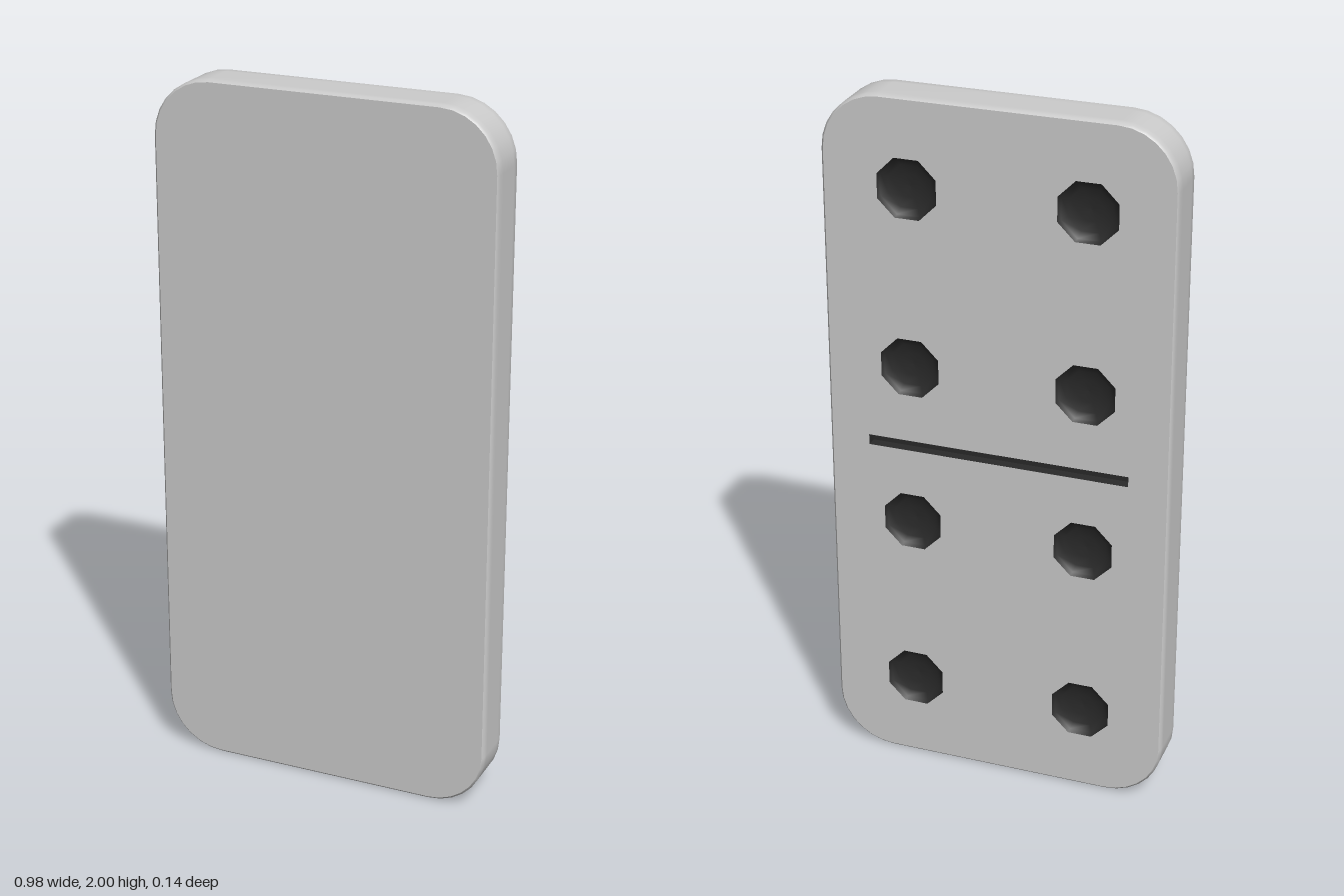
import * as THREE from 'three';

const W = 0.98, H = 2, D = 0.135, R = 0.165, INSET = 0.006;
const PIP_R = 0.09, PIP_DEPTH = 0.03, BAR_W = 0.75, BAR_H = 0.03, BAR_DEPTH = 0.03;
const PIPS = [];
for (const x of [-0.25, 0.25]) for (const y of [-0.75, -0.236, 0.236, 0.75]) PIPS.push([x, y]);

// Rounded rectangle outline, counter-clockwise, shrunk by `inset`
function outline(inset) {
  const points = [], n = 7, cx = W / 2 - R, cy = H / 2 - R, r = R - inset;
  [[1, 1], [-1, 1], [-1, -1], [1, -1]].forEach(([sx, sy], corner) => {
    for (let i = 0; i <= n; i++) {
      const a = (corner + i / n) * Math.PI / 2;
      points.push(new THREE.Vector2(sx * cx + r * Math.cos(a), sy * cy + r * Math.sin(a)));
    }
  });
  return points;
}

// Smooth side wall with softened rims, lofted from outline rings
function wallGeometry() {
  const rings = [[INSET, -D / 2], [0, -D / 2 + INSET], [0, -0.04], [0, 0.04], [0, D / 2 - INSET], [INSET, D / 2]];
  const position = [], index = [];
  const n = outline(0).length;
  rings.forEach(([inset, z], k) => {
    outline(inset).forEach((p, i) => {
      position.push(p.x, p.y, z);
      if (k === rings.length - 1) return;
      const a = k * n + i, b = k * n + (i + 1) % n;
      index.push(a, b, b + n, a, b + n, a + n);
    });
  });
  const g = new THREE.BufferGeometry();
  g.setAttribute('position', new THREE.Float32BufferAttribute(position, 3));
  g.setIndex(index);
  g.computeVertexNormals();
  return g;
}

// Back face with openings for the pips and the dividing bar
function backShape() {
  const shape = new THREE.Shape(outline(INSET));
  for (const [x, y] of PIPS) {
    const pts = [];
    for (let i = 0; i < 8; i++) {
      const a = -(i + 0.5) * Math.PI / 4;
      pts.push(new THREE.Vector2(x + PIP_R * Math.cos(a), y + PIP_R * Math.sin(a)));
    }
    shape.holes.push(new THREE.Path(pts));
  }
  const w = BAR_W / 2, h = BAR_H / 2;
  shape.holes.push(new THREE.Path([[-w, -h], [-w, h], [w, h], [w, -h]].map(p => new THREE.Vector2(...p))));
  return shape;
}

export function createModel() {
  const model = new THREE.Group();
  model.name = 'dominoTile';
  const grey = new THREE.MeshStandardMaterial({ color: 0xcccccc });
  const dark = new THREE.MeshStandardMaterial({ color: 0x2a2a2a, side: THREE.DoubleSide });

  function add(name, geometry, material, x, y, z) {
    const mesh = new THREE.Mesh(geometry, material);
    mesh.name = name;
    mesh.position.set(x, y + H / 2, z);
    model.add(mesh);
    return mesh;
  }

  // Tile body
  add('sideWall', wallGeometry(), grey, 0, 0, 0);
  add('frontFace', new THREE.ShapeGeometry(new THREE.Shape(outline(INSET))), grey, 0, 0, D / 2);
  add('backFace', new THREE.ShapeGeometry(backShape()), grey, 0, 0, -D / 2).rotation.y = Math.PI;

  // Shallow eight-sided bowls
  const profile = [];
  for (let i = 0; i <= 4; i++) {
    const a = i / 4 * Math.PI / 2;
    profile.push(new THREE.Vector2(PIP_R * Math.sin(a), -PIP_DEPTH * Math.cos(a)));
  }
  const bowl = new THREE.LatheGeometry(profile, 8, Math.PI / 8).rotateX(-Math.PI / 2);
  for (const [x, y] of PIPS) add('pip', bowl, dark, x, y, -D / 2);

  // Dividing groove: a box without its outer (-z) face
  const groove = new THREE.BoxGeometry(BAR_W, BAR_H, BAR_DEPTH);
  groove.setIndex(Array.from(groove.index.array).slice(0, 30));
  groove.clearGroups();
  add('dividingGroove', groove, dark, 0, 0, -D / 2 + BAR_DEPTH / 2);

  return model;
}
